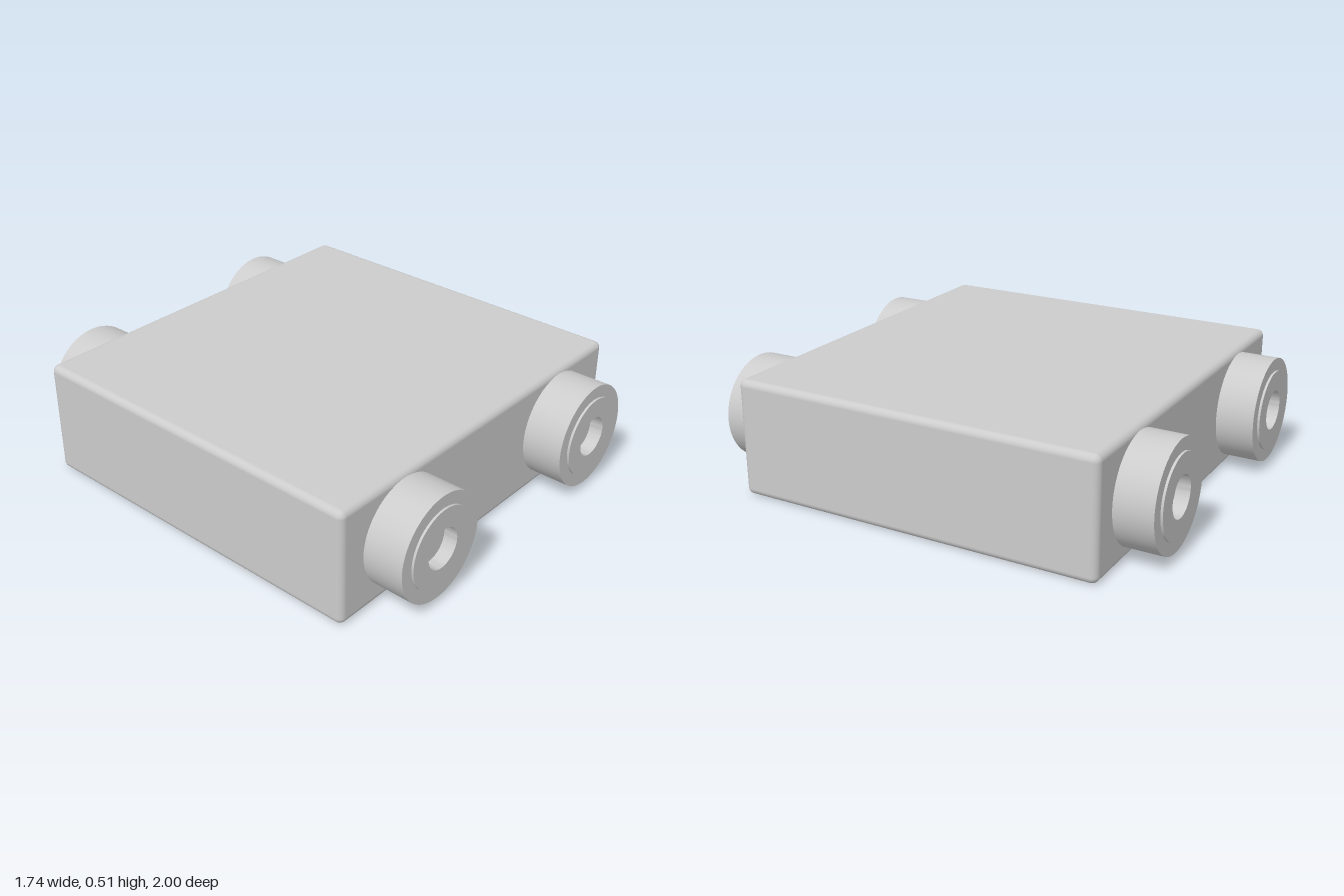
import * as THREE from 'three';
import { RoundedBoxGeometry } from 'three/addons/geometries/RoundedBoxGeometry.js';
import { toCreasedNormals } from 'three/addons/utils/BufferGeometryUtils.js';

const material = new THREE.MeshStandardMaterial({ color: 0xcccccc });

// Wheel profile (radius, distance along axle): tyre, raised rim, recessed hub
const wheelProfile = [
  [0, 0.78], [0.23, 0.78], [0.23, 0.99], [0.175, 0.99],
  [0.175, 1.0], [0.087, 1.0], [0.087, 0.94], [0, 0.94],
].map(([r, z]) => new THREE.Vector2(r, z));

export function createModel() {
  const model = new THREE.Group();
  model.name = 'wheeledBlock';

  // Flat body with softly rounded edges
  const body = new THREE.Mesh(new RoundedBoxGeometry(1.74, 0.51, 1.636, 5, 0.03), material);
  body.name = 'body';
  body.position.set(0, 0.255, -0.007);
  model.add(body);

  // Four wheels, mirrored front to back
  const wheelGeometry = toCreasedNormals(new THREE.LatheGeometry(wheelProfile, 64), 0.6);
  for (const [end, side] of [['front', 1], ['back', -1]]) {
    for (const [hand, x] of [['Left', 0.52], ['Right', -0.515]]) {
      const wheel = new THREE.Mesh(wheelGeometry, material);
      wheel.name = `${end}${hand}Wheel`;
      wheel.position.set(x, 0.259, 0);
      wheel.rotation.x = side * Math.PI / 2;
      model.add(wheel);
    }
  }
  return model;
}
